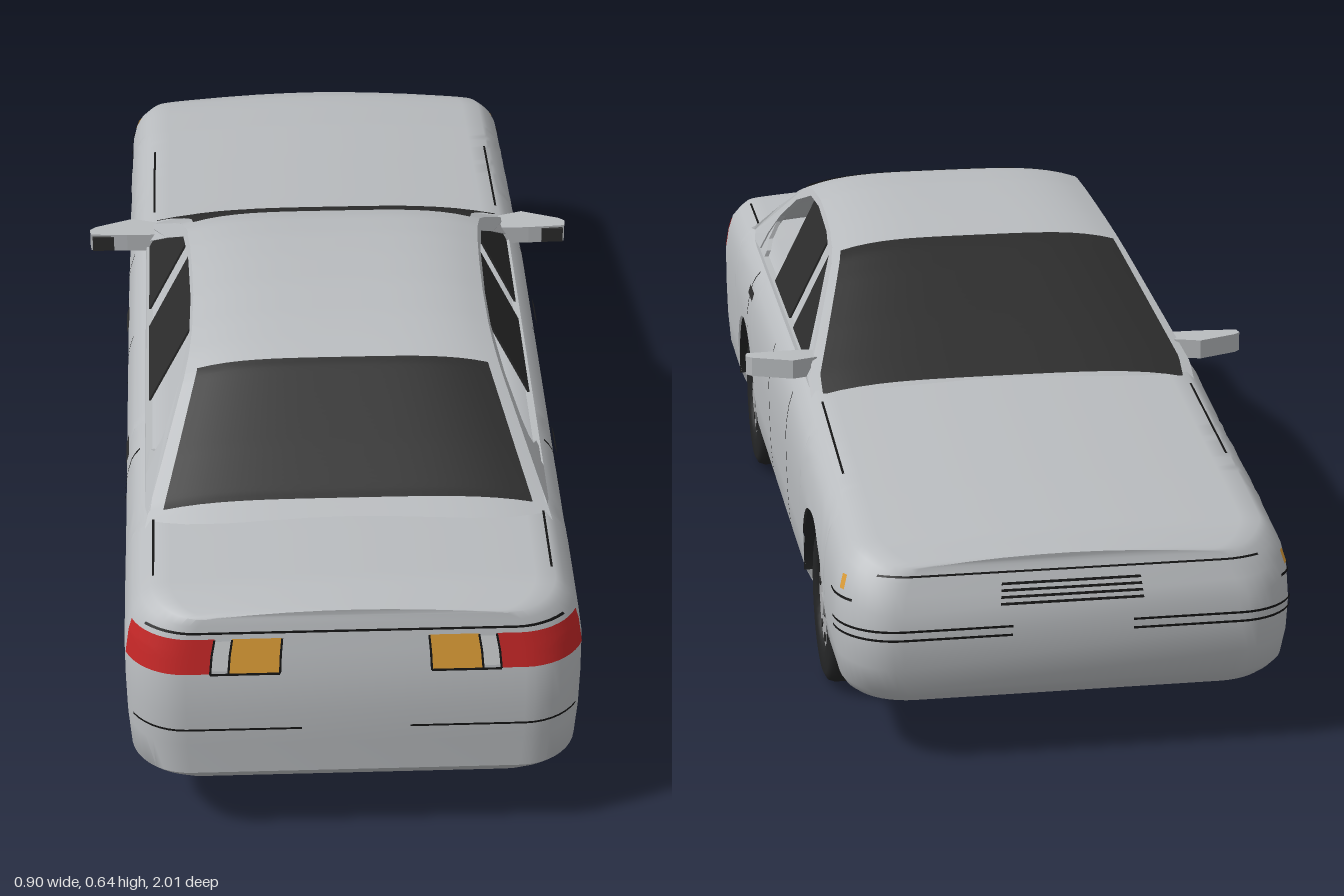
import * as THREE from 'three';
import { toCreasedNormals } from 'three/addons/utils/BufferGeometryUtils.js';

const material = (name, color) => {
  const m = new THREE.MeshStandardMaterial({ color, side: THREE.DoubleSide });
  m.name = name;
  return m;
};
const range = (a, b, n) => Array.from({ length: n + 1 }, (_, i) => a + (b - a) * i / n);
const poly = pts => pts.map(p => new THREE.Vector2(...p));
const box = (x, y, z) => new THREE.BoxGeometry(x, y, z);
const extrude = (shape, depth) => new THREE.ExtrudeGeometry(shape, { depth, bevelEnabled: false });

// Piecewise linear lookup in a table of [position, value]
function lookup(table, v) {
  if (v <= table[0][0]) return table[0][1];
  for (let i = 1; i < table.length; i++) {
    const [a, p] = table[i - 1], [b, q] = table[i];
    if (v <= b) return p + (q - p) * (v - a) / (b - a);
  }
  return table[table.length - 1][1];
}

// Surface through rows of points; optionally closes both end rows across the mirror plane
function loft(rows, capped = false) {
  const n = rows[0].length, last = (rows.length - 1) * n, index = [];
  const quad = (a, b, c, d) => index.push(a, b, c, a, c, d);
  for (let i = 0; i < last; i += n)
    for (let j = i; j < i + n - 1; j++) quad(j, j + 1, j + n + 1, j + n);
  for (let j = 0; capped && j < (n - 1) / 2; j++) {
    quad(j, n - 1 - j, n - 2 - j, j + 1);
    quad(last + j, last + j + 1, last + n - 2 - j, last + n - 1 - j);
  }
  const g = new THREE.BufferGeometry();
  g.setAttribute('position', new THREE.Float32BufferAttribute(rows.flat(2), 3));
  g.setIndex(index);
  return toCreasedNormals(g, 0.75);
}

// Body shape rules: deck height, side tuck-in and raked ends
const TOP = [[-1, .33], [-.95, .35], [-.9, .358], [-.6, .39], [-.33, .42], [-.25, .432], [.6, .435], [.7, .443], [.92, .443], [1, .432]];
const deck = z => lookup(TOP, z);
const HEAD = .335, CROWN = .014;
function shape(px, y, z, top) {
  const tuck = lookup([[.1, .035], [.115, .018], [.14, .007], [.2, .002], [.28, 0]], y)
    + lookup([[0, .045], [.012, .03], [.03, .015], [.06, .006], [.1, 0]], top - y);
  const w = THREE.MathUtils.clamp((Math.abs(z) - .75) / .25, 0, 1);
  const rake = (z > 0 ? Math.max(0, y - .3) * .25 : Math.max(0, y - .25) * .45) + Math.max(0, .14 - y);
  return [px * (.38 - tuck) / .38, y, z - Math.sign(z) * w * rake];
}
// Point on the body skin, t measured from the middle of one end around the corner
function skin(t, y, end, off) {
  const a = THREE.MathUtils.clamp((t - .28) / .1, 0, Math.PI / 2), r = .1 + off;
  const z = end * (.9 + r * Math.cos(a) - Math.max(0, t - .437));
  return shape(Math.min(t, .28) + r * Math.sin(a), y, z, deck(z));
}

// Cabin shape rules
const ROOF = [[-.34, .425], [-.2, .513], [-.1, .573], [-.05, .601], [0, .617], [.08, .629], [.16, .635], [.26, .638],
  [.36, .632], [.42, .62], [.47, .6], [.6, .523], [.68, .474], [.74, .448]];
const roofY = z => lookup(ROOF, z);
const sideX = y => Math.min(.345, .345 - (y - .435) * .5);
const cabinPoint = (u, z, lift) => [u * sideX(roofY(z) - .024), roofY(z) - .024 * u ** 4 + lift, z];
const cabinSkin = (z0, z1, u, lift) =>
  loft(range(z0, z1, 28).map(z => range(-u, u, 20).map(v => cabinPoint(v, z, lift))));

export function createModel() {
  const car = new THREE.Group();
  car.name = 'car';
  const paint = material('silver paint', 0xb9bcbf), glass = material('dark glass', 0x2c2c2c),
    black = material('black trim', 0x141414), rubber = material('tyre rubber', 0x242526),
    red = material('red lens', 0xc22626), amber = material('amber lens', 0xd99a35),
    clear = material('clear lens', 0xc9cccd), rim = material('wheel silver', 0xa9abad);
  const add = (name, geometry, mat, parent = car) => {
    const mesh = new THREE.Mesh(geometry, mat);
    mesh.name = name;
    parent.add(mesh);
    return mesh;
  };
  const pair = (name, geometry, mat) => {
    add(name + 'Left', geometry, mat);
    add(name + 'Right', geometry, mat).scale.x = -1;
  };

  // Lower body: stations from front to back, with the lower edge following the wheel arches
  const AXLES = [-.6, .53], HUB = .135, ARCH = .165, stations = [];
  for (const a of range(0, Math.PI / 2, 10)) for (const end of [-1, 1])
    stations.push([end * (.9 + .1 * Math.cos(a)), .28 + .1 * Math.sin(a), .1]);
  for (const z of [...range(-.86, -.78, 2), ...range(-.4, .34, 10), ...range(.71, .86, 3)]) stations.push([z, .38, .1]);
  for (const c of AXLES) {
    stations.push([c - ARCH - .001, .38, .1], [c + ARCH + .001, .38, .1]);
    for (const a of range(0, Math.PI, 24)) stations.push([c + ARCH * Math.cos(a), .38, HUB + ARCH * Math.sin(a)]);
  }
  stations.sort((a, b) => a[0] - b[0]);
  const levels = [0, .045, .12, .3, .5, .7, .82, .91, .965, 1];
  const rows = stations.map(([z, w, low]) => {
    const top = deck(z), half = levels.map(f => shape(w, low + f * (top - low), z, top));
    const [ex, ey, ez] = half[half.length - 1];
    for (const k of [.9, .7, .45, .2]) half.push([ex * k, ey + CROWN * (1 - k * k), ez]);
    return [...half, [0, ey + CROWN, ez], ...half.slice().reverse().map(([x, y, q]) => [-x, y, q])];
  });
  add('lowerBody', loft(rows, true), paint);

  // Floor pan and sill plate
  add('sillPlate', box(.68, .018, 1.63), black).position.set(0, .094, .055);
  const quarter = range(.28, .437, 8).map(t => skin(t, .101, 1, 0)).map(([x, , z]) => [x * .98, z * .985]);
  const edgeHalf = [...quarter, ...quarter.map(([x, z]) => [x, -z]).reverse()];
  const plan = new THREE.Shape(poly([...edgeHalf, ...edgeHalf.map(([x, z]) => [-x, z]).reverse()]));
  add('floorPan', extrude(plan, .006).rotateX(Math.PI / 2), black).position.y = .11;

  // Cabin skin with front and rear screens
  add('frontPillars', cabinSkin(-.34, -.02, 1, 0), paint);
  add('roof', cabinSkin(-.02, .46, 1, 0), paint);
  add('rearPillars', cabinSkin(.46, .74, 1, 0), paint);
  add('windscreen', cabinSkin(-.325, -.025, .94, .005), glass);
  add('rearScreen', cabinSkin(.46, .69, .92, .005), glass);

  // Cabin sides with open window apertures, and the door glass
  const sidePlate = (pts, inset, depth, hole) => {
    const s = new THREE.Shape(poly(pts));
    if (hole) s.holes.push(new THREE.Path(poly(hole)));
    const g = extrude(s, depth), p = g.attributes.position;
    for (let i = 0; i < p.count; i++)
      p.setXYZ(i, sideX(p.getY(i)) - inset - p.getZ(i), p.getY(i), p.getX(i));
    g.computeVertexNormals();
    return g;
  };
  const edge = range(-.3, .71, 40).map(z => [z, roofY(z) - .024]).filter(p => p[1] > .426);
  pair('cabinSide', sidePlate([[edge[0][0], .425], ...edge, [edge[edge.length - 1][0], .425]], 0, .012,
    [[-.22, .438], [-.1, .518], [0, .58], [.1, .597], [.25, .604], [.35, .598], [.45, .563], [.52, .512], [.55, .47], [.555, .438]]), paint);
  pair('rearDoorGlass', sidePlate([[.08, .435], [.08, .597], [.2, .604], [.325, .597], [.325, .435]], .005, .004), glass);
  pair('frontDoorGlass', sidePlate([[.02, .435], [.02, .578], [-.03, .562], [-.2, .462], [-.24, .435]], .005, .004), glass);
  pair('quarterDivider', sidePlate([[.56, .432], [.555, .515], [.532, .51], [.525, .465], [.495, .45], [.495, .432]], .002, .008), paint);

  // Lamps and seams: thin plates that follow the body skin
  const patch = (name, mat, t0, t1, y0, y1, end = 1, off = .003) => {
    const n = Math.max(2, Math.ceil((t1 - t0) / .015));
    pair(name, loft(range(t0, t1, n).map(t => range(y0, y1, 10).map(y => skin(t, y, end, off)))), mat);
  };
  patch('tailLampRed', red, .24, .405, .34, .4);
  patch('tailLampClear', clear, .21, .24, .345, .396);
  patch('tailLampAmber', amber, .125, .21, .34, .4);
  for (const t of [.125, .21, .24]) patch('lampDivider', black, t - .0018, t + .0018, .34, .4, 1, .005);
  patch('lampBase', black, .125, .24, .338, .342, 1, .005);
  patch('bootSeam', black, 0, .37, .408, .412);
  patch('rearBumperSeam', black, .09, .385, .23, .234);
  for (const y of [.235, .22]) patch('frontBumperSeam', black, .1, .43, y, y + .004, -1);
  patch('bonnetSeam', black, 0, .34, .318, .321, -1);
  patch('frontSideSeam', black, .37, .45, .276, .28, -1);
  for (const y of [.27, .28, .29, .3]) patch('grilleSlot', black, 0, .12, y, y + .004, -1);
  patch('frontIndicator', amber, .39, .402, .29, .312, -1);

  // Door seams and handles
  const onSide = z => .437 + .9 - z;
  patch('rearDoorSeam', black, onSide(.452), onSide(.447), .31, .42, 1, .002);
  for (const z of [.05, -.235]) patch('doorSeam', black, onSide(z + .002), onSide(z - .002), .14, .4, 1, .002);
  patch('rearDoorHandle', glass, onSide(.44), onSide(.375), .383, .399, 1, .008);
  patch('frontDoorHandle', glass, onSide(0), onSide(-.068), .373, .389, 1, .008);

  // Bonnet and boot lid seams along the deck
  for (const [name, z0, z1] of [['bonnetSideSeam', -.65, -.36], ['bootSideSeam', .7, .86]])
    pair(name, loft(range(z0, z1, 10).map(z => [.328, .332].map(x =>
      [x, deck(z) + CROWN * (1 - (x / HEAD) ** 2) + .002, z]))), black);

  // Door mirrors
  const mirror = new THREE.Shape(poly([[.325, -.2], [.325, -.245], [.37, -.26], [.44, -.232], [.45, -.222], [.448, -.205], [.38, -.2]]));
  pair('doorMirror', extrude(mirror, .034).rotateX(Math.PI / 2).translate(0, .465, 0), paint);
  pair('mirrorGlass', box(.04, .028, .006).translate(.425, .447, -.201), glass);

  // Wheel wells and wheels
  const well = new THREE.Shape();
  well.moveTo(ARCH, -.033);
  well.absarc(0, 0, ARCH, 0, Math.PI, false);
  well.lineTo(-ARCH, -.033);
  const tyre = new THREE.LatheGeometry(poly([[.08, -.035], [.12, -.035], [.131, -.029], [.135, -.018], [.135, .018],
    [.131, .029], [.12, .035], [.084, .035], [.078, .027]]), 40).rotateZ(-Math.PI / 2);
  const disc = (r, h) => new THREE.CylinderGeometry(r, r, h, 32).rotateZ(Math.PI / 2);
  const liner = new THREE.CylinderGeometry(ARCH, ARCH, .09, 32, 1, true, 0, Math.PI).rotateZ(Math.PI / 2);
  for (const side of [1, -1]) for (const c of AXLES) {
    const wheel = new THREE.Group();
    wheel.name = (c < 0 ? 'front' : 'rear') + 'Wheel' + (side > 0 ? 'Left' : 'Right');
    wheel.position.set(side * .33, HUB, c);
    wheel.scale.x = side;
    car.add(wheel);
    add('tyre', tyre, rubber, wheel);
    add('wheelDisc', disc(.084, .056), rim, wheel);
    add('hubRing', new THREE.TorusGeometry(.022, .003, 6, 24).rotateY(Math.PI / 2), glass, wheel).position.x = .027;
    add('hubCap', disc(.02, .008), rim, wheel).position.x = .03;
    for (const a of range(0, Math.PI * 1.8, 9))
      add('wheelSlot', box(.004, .014, .008).rotateX(-a), glass, wheel).position.set(.028, .062 * Math.cos(a), -.062 * Math.sin(a));
    add('wheelWell', extrude(well, .1).rotateY(Math.PI / 2), rubber, wheel).position.x = -.14;
    add('archLiner', liner, rubber, wheel);
  }
  return car;
}
